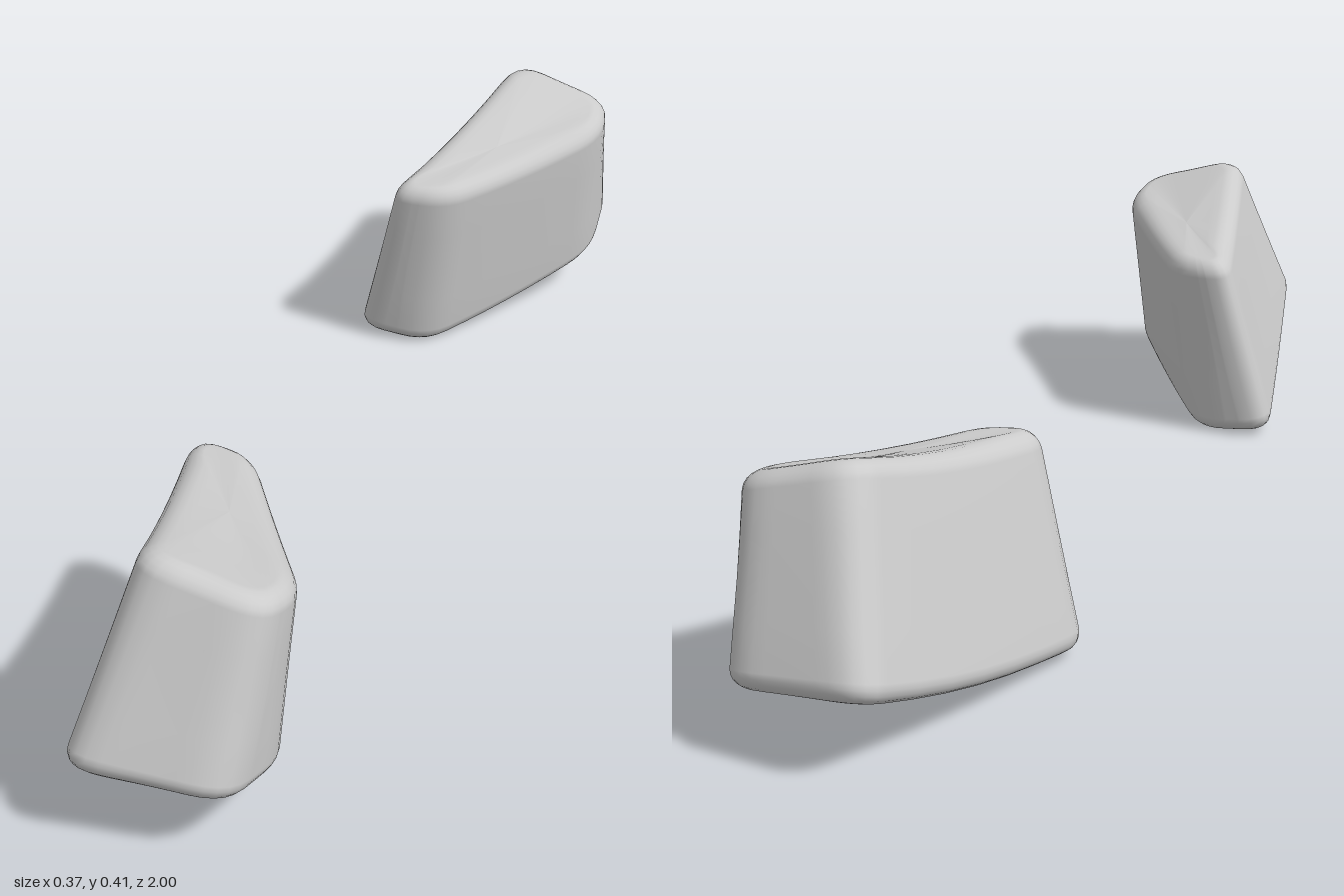
import * as THREE from 'three';

const V = (x, y, z) => new THREE.Vector3(x, y, z);

// Corners of one wedge block, counter-clockwise seen from above: narrow end, wide end, back to narrow end
const BOTTOM = [V(-0.20, 0.016, 0.472), V(-0.08, 0.14, 1.017), V(0.157, 0.115, 0.978), V(0.172, 0.083, 0.81), V(-0.055, -0.003, 0.475)];
const TOP = [V(-0.115, 0.335, 0.437), V(-0.007, 0.449, 0.872), V(0.175, 0.398, 0.865), V(0.191, 0.38, 0.77), V(-0.008, 0.335, 0.45)];

// Polygon outline with rounded corners and evenly divided edges
function roundedOutline(corners, reach = 0.055, cornerSteps = 5, edgeSteps = 6) {
  const points = [];
  const n = corners.length;
  const toward = (a, b) => a.clone().lerp(b, Math.min(0.42, reach / a.distanceTo(b)));
  corners.forEach((c, i) => {
    const next = corners[(i + 1) % n];
    const arc = new THREE.QuadraticBezierCurve3(toward(c, corners[(i + n - 1) % n]), c, toward(c, next));
    points.push(...arc.getPoints(cornerSteps));
    const end = toward(next, c);
    for (let k = 1; k < edgeSteps; k++) points.push(arc.v2.clone().lerp(end, k / edgeSteps));
  });
  return points;
}

// Weighted mean of the five corners
function blend(corners, weights) {
  return corners.reduce((sum, c, i) => sum.addScaledVector(c, weights[i]), V(0, 0, 0));
}

// Rows from the middle of the underside, round the lower edge, up the wall and in over the top
function profileRows() {
  const radius = 0.032, edge = 0.09, steps = 5;
  const half = [1, 0.75, 0.5, 0.25].map((cap) => ({ t: 0, inset: radius, cap }));
  for (let k = 0; k <= steps; k++) {
    const a = (k / steps) * Math.PI / 2;
    half.push({ t: edge * (1 - Math.cos(a)), inset: radius * (1 - Math.sin(a)), cap: 0 });
  }
  const upper = half.map((r) => ({ ...r, t: 1 - r.t })).reverse();
  const wall = [0.3, 0.5, 0.7].map((t) => ({ t, inset: 0, cap: 0 }));
  return [...half, ...wall, ...upper];
}

// side is 1 for the front block, -1 for its mirror image at the back
function blockGeometry(side) {
  const positions = [], index = [];
  const rows = profileRows();
  let count = 0;
  rows.forEach(({ t, inset, cap }) => {
    const corners = BOTTOM.map((b, i) => b.clone().lerp(TOP[i], t));
    const outline = roundedOutline(corners);
    count = outline.length;
    // The rim is inset toward a lengthwise spine; the caps close on its middle
    const tip = blend(corners, [0.4, 0.1, 0, 0.1, 0.4]);
    const wide = blend(corners, [0.1, 0.27, 0.26, 0.27, 0.1]);
    const spine = new THREE.Line3(tip, wide);
    const middle = spine.getCenter(V(0, 0, 0));
    outline.forEach((p) => {
      const core = spine.closestPointToPoint(p, true, V(0, 0, 0));
      p.lerp(core, Math.min(0.8, inset / p.distanceTo(core))).lerp(middle, cap);
      // Slight arch along the length: hollow top, bulging underside
      const u = (p.z - 0.72) / 0.28;
      p.y -= 0.025 * (1 - u * u);
      positions.push(p.x, p.y, p.z * side);
    });
  });
  for (let r = 0; r < rows.length - 1; r++) {
    for (let j = 0; j < count; j++) {
      const a = r * count + j, b = r * count + (j + 1) % count;
      const c = b + count, d = a + count;
      if (side > 0) index.push(a, b, c, a, c, d);
      else index.push(a, c, b, a, d, c);
    }
  }
  const geometry = new THREE.BufferGeometry();
  geometry.setAttribute('position', new THREE.Float32BufferAttribute(positions, 3));
  geometry.setIndex(index);
  geometry.computeVertexNormals();
  return geometry;
}

export function createModel() {
  const group = new THREE.Group();
  group.name = 'wedgeBlocks';
  const material = new THREE.MeshStandardMaterial({ color: 0xcccccc });
  for (const [name, side] of [['frontBlock', 1], ['backBlock', -1]]) {
    const block = new THREE.Mesh(blockGeometry(side), material);
    block.name = name;
    group.add(block);
  }
  return group;
}
